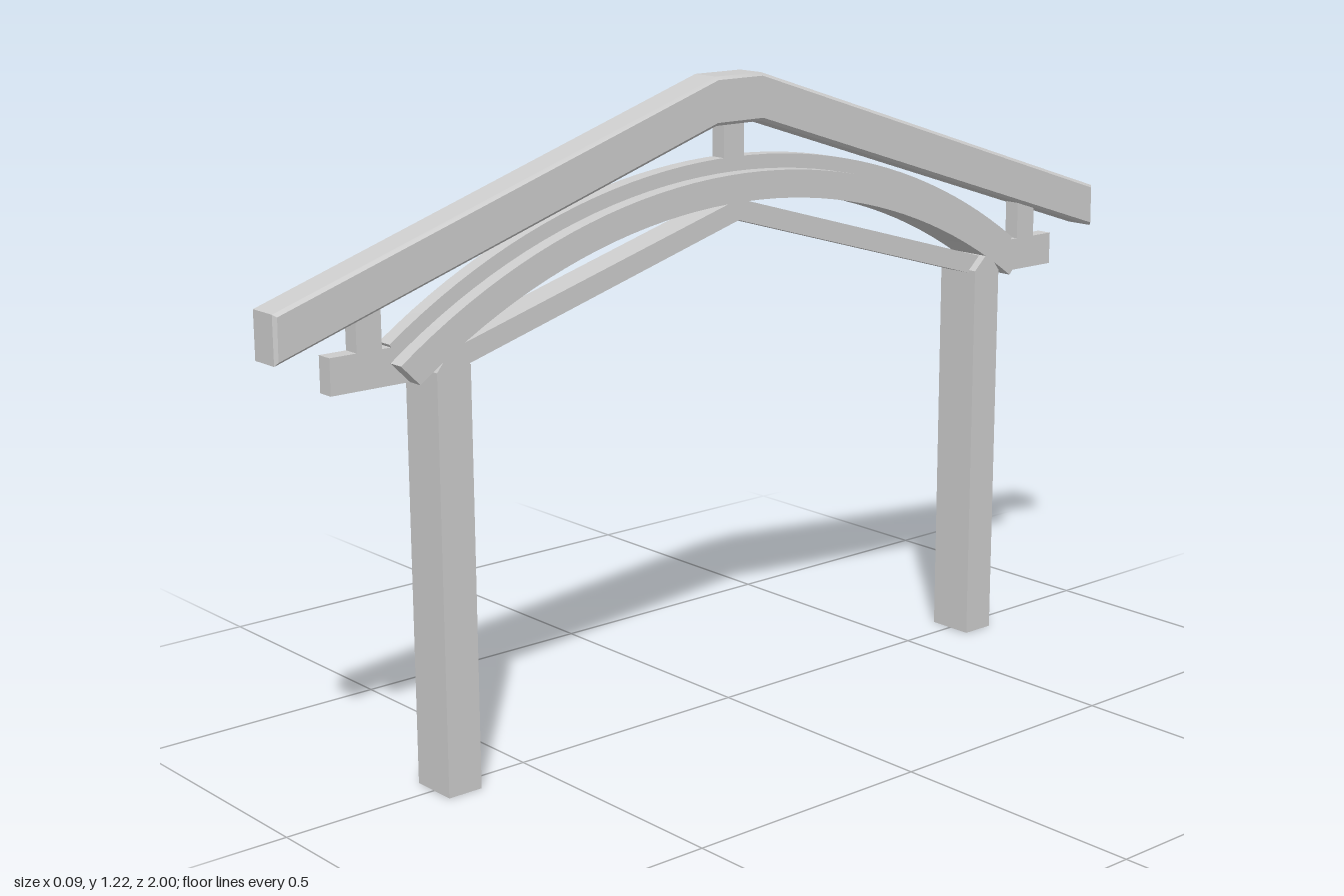
import * as THREE from 'three';
import { toCreasedNormals } from 'three/addons/utils/BufferGeometryUtils.js';

const material = new THREE.MeshStandardMaterial({ color: 0xcccccc });
const ARC_Y = -0.28; // height of the common centre of all arches

// Profile drawn in the (z, y) plane
const polygon = (points) => new THREE.Shape(points.map(([z, y]) => new THREE.Vector2(z, y)));

// Points along an arc between two z positions
function arcPoints(radius, zFrom, zTo, steps = 40) {
  const a0 = Math.asin(zFrom / radius), a1 = Math.asin(zTo / radius);
  return Array.from({ length: steps + 1 }, (_, i) => {
    const a = a0 + ((a1 - a0) * i) / steps;
    return [radius * Math.sin(a), ARC_Y + radius * Math.cos(a)];
  });
}

// Curved band between two radii, cut at the given z on its outer and inner side
const band = (outer, inner, zo0, zo1, zi0, zi1) =>
  polygon([...arcPoints(outer, zo0, zo1), ...arcPoints(inner, zi1, zi0)]);

// Extrudes a profile across the width, centred on x (optionally with softened edges)
function beam(name, shape, halfWidth, { x = 0, bevel = 0 } = {}) {
  const depth = 2 * (halfWidth - bevel);
  let geometry = new THREE.ExtrudeGeometry(shape, {
    depth, bevelEnabled: bevel > 0, bevelSize: bevel, bevelThickness: bevel,
    bevelOffset: -bevel, bevelSegments: 1,
  });
  geometry.translate(0, 0, -depth / 2);
  geometry.rotateY(-Math.PI / 2);
  geometry = toCreasedNormals(geometry, 0.3);
  const mesh = new THREE.Mesh(geometry, material);
  mesh.name = name;
  mesh.position.x = x;
  return mesh;
}

export function createModel() {
  const model = new THREE.Group();
  model.name = 'roofTruss';

  // Gabled rafter with a short flat ridge
  model.add(beam('rafter', polygon([
    [1, 0.825], [1, 0.911], [0.055, 1.22], [-0.055, 1.22],
    [-1, 0.911], [-1, 0.825], [-0.055, 1.13], [0.055, 1.13],
  ]), 0.035, { bevel: 0.006 }));

  // Wide arch: solid core with grooved cheeks on both sides
  const archBand = () => band(1.32, 1.267, -0.769, 0.769, -0.731, 0.731);
  model.add(beam('archCore', archBand(), 0.039));
  for (const side of [-1, 1]) {
    const cheek = archBand();
    for (const [from, to] of [[-0.635, -0.055], [0.055, 0.635]]) {
      cheek.holes.push(band(1.306, 1.293, from, to, from, to));
    }
    model.add(beam('archCheek', cheek, 0.004, { x: side * 0.043 }));
  }

  // Narrow arch riding on the wide one
  model.add(beam('upperArch', band(1.347, 1.31, -0.77, 0.77, -0.75, 0.75), 0.016));

  // Central strut under the ridge
  model.add(beam('ridgeStrut', polygon([
    [-0.025, 1.05], [0.025, 1.05], [0.025, 1.14], [-0.025, 1.14],
  ]), 0.016));

  // Angled tie beam below the arch
  model.add(beam('tieBeam', polygon([
    [0.66, 0.76], [0.66, 0.8], [0, 0.99], [-0.66, 0.8], [-0.66, 0.76], [0, 0.95],
  ]), 0.03));

  // Posts, eave blocks and eave struts, mirrored front and back
  for (const s of [1, -1]) {
    const mirrored = (points) => polygon(points.map(([z, y]) => [s * z, y]));
    model.add(beam('post', mirrored([
      [0.627, 0], [0.697, 0], [0.697, 0.77], [0.665, 0.81], [0.627, 0.775],
    ]), 0.047));
    model.add(beam('eaveBlock', mirrored([
      [0.73, 0.755], [0.888, 0.755], [0.888, 0.82], [0.75, 0.82],
    ]), 0.016));
    model.add(beam('eaveStrut', mirrored([
      [0.785, 0.81], [0.835, 0.81], [0.835, 0.89], [0.785, 0.905],
    ]), 0.016));
  }
  return model;
}
